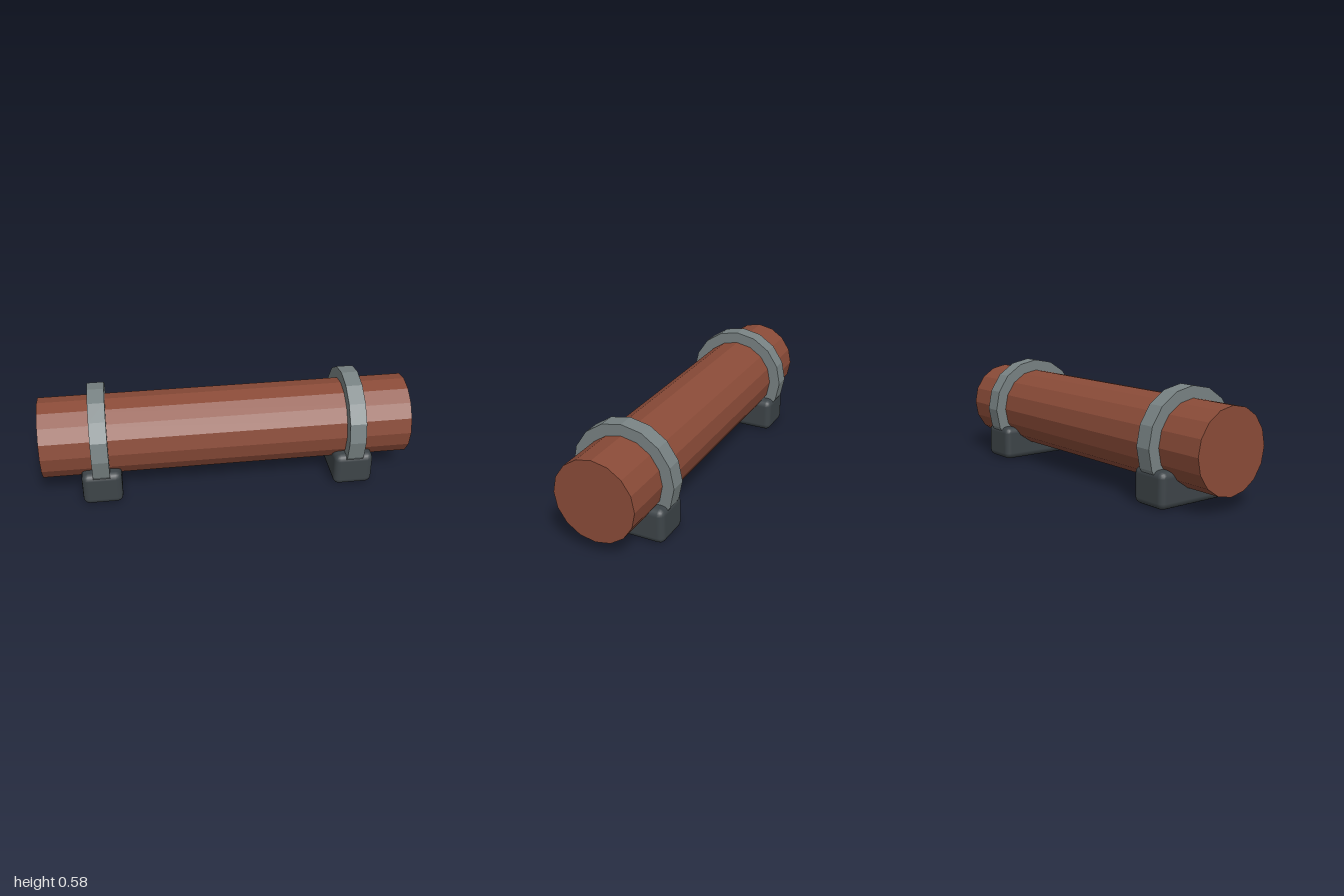
import * as THREE from 'three';
import { RoundedBoxGeometry } from 'three/addons/geometries/RoundedBoxGeometry.js';

const AXIS_Y = 0.295, PIPE_R = 0.219, RING_R = 0.281, SIDES = 16;

function material(name, color, flatShading) {
  const m = new THREE.MeshStandardMaterial({ color, flatShading });
  m.name = name;
  return m;
}

export function createModel() {
  const model = new THREE.Group();
  model.name = 'pipeOnSupports';
  const rust = material('rust brown', 0x8a4b38, true);
  const steel = material('steel grey', 0x788283, true);
  const rubber = material('dark slate', 0x3d4448, false);

  const add = (name, geometry, mat, x, y) => {
    const mesh = new THREE.Mesh(geometry, mat);
    mesh.name = name;
    mesh.position.set(x, y, 0);
    model.add(mesh);
  };

  // Long faceted pipe lying along x
  const pipe = new THREE.CylinderGeometry(PIPE_R, PIPE_R, 2, SIDES).rotateZ(Math.PI / 2);
  add('pipe', pipe, rust, 0, AXIS_Y);

  // Clamp band: rectangular section swept around the pipe
  const inner = PIPE_R - 0.004, half = 0.045;
  const section = [[inner, -half], [RING_R, -half], [RING_R, half], [inner, half], [inner, -half]];
  const band = new THREE.LatheGeometry(section.map(p => new THREE.Vector2(...p)), SIDES).rotateZ(Math.PI / 2);

  // Rounded foot under each clamp
  const foot = new RoundedBoxGeometry(0.214, 0.188, 0.5, 2, 0.034);

  for (const [side, s] of [['left', 1], ['right', -1]]) {
    add(side + 'Clamp', band, steel, s * 0.6875, AXIS_Y);
    add(side + 'Foot', foot, rubber, s * 0.6875, 0.094);
  }
  return model;
}
